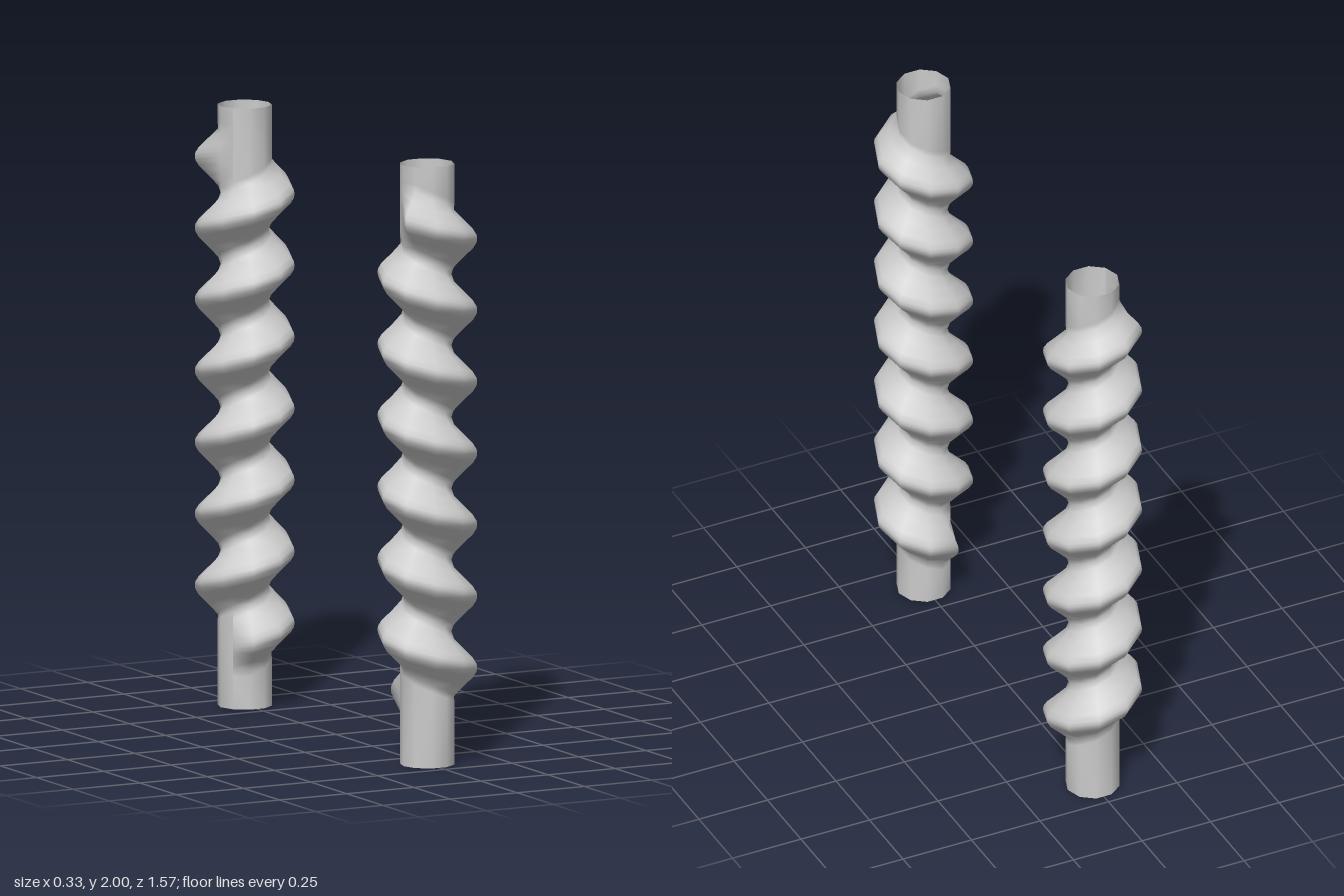
import * as THREE from 'three';
import { mergeVertices } from 'three/addons/utils/BufferGeometryUtils.js';

const SIDES = 10, TURNS = 7, PITCH = 0.238;
const CORE = 0.09, VALLEY = 0.08, HEIGHT = 2;
const START_ANGLE = -0.8 * Math.PI, START_Y = 0.205;

// Thread cross-section between two valleys: [offset in half pitches, radius]
const half = [[0.8, 0.088], [0.55, 0.117], [0.27, 0.151], [0.11, 0.163]];
const thread = [
  ...half.map(([t, r]) => [-t, r]),
  [0, 0.165],
  ...half.slice().reverse().map(([t, r]) => [t, r]),
];

// The thread starts one step after the first column and stops two steps before the last
const hasThread = (col, turn) => {
  if (turn < 0 || turn >= TURNS) return false;
  const step = col + SIDES * turn;
  return step >= 1 && step <= SIDES * TURNS - 2;
};

// Radius and height of every point up one column of the screw
function column(col) {
  const points = [[CORE, 0]];
  for (let turn = 0; turn <= TURNS; turn++) {
    const y = START_Y + PITCH * (col / SIDES + turn);
    const between = hasThread(col, turn - 1) && hasThread(col, turn);
    points.push([between ? VALLEY : CORE, y - PITCH / 2]);
    if (turn === TURNS) break;
    for (const [t, r] of thread) {
      points.push([hasThread(col, turn) ? r : CORE, y + t * PITCH / 2]);
    }
  }
  points.push([CORE, HEIGHT]);
  return points;
}

// Hollow ten-sided screw, open at both ends; hand = 1 or -1 mirrors it in z
function screwGeometry(hand) {
  const positions = [], index = [];
  let rows = 0;
  for (let col = 0; col <= SIDES; col++) {
    const angle = START_ANGLE + (col / SIDES) * Math.PI * 2;
    const points = column(col);
    rows = points.length;
    for (const [r, y] of points) {
      positions.push(r * Math.cos(angle), y, hand * r * Math.sin(angle));
    }
  }
  for (let col = 0; col < SIDES; col++) {
    for (let row = 0; row < rows - 1; row++) {
      const a = col * rows + row, b = a + 1, c = a + rows, d = c + 1;
      if (hand > 0) index.push(a, b, c, b, d, c);
      else index.push(a, c, b, b, c, d);
    }
  }
  const geometry = new THREE.BufferGeometry();
  geometry.setAttribute('position', new THREE.Float32BufferAttribute(positions, 3));
  geometry.setIndex(index);
  const merged = mergeVertices(geometry, 1e-4);
  merged.computeVertexNormals();
  return merged;
}

export function createModel() {
  const group = new THREE.Group();
  group.name = 'screwPair';
  const material = new THREE.MeshStandardMaterial({ color: 0xcccccc, side: THREE.DoubleSide });

  // Two screws of opposite hand, one in front and one behind
  for (const hand of [1, -1]) {
    const screw = new THREE.Mesh(screwGeometry(hand), material);
    screw.name = hand > 0 ? 'frontScrew' : 'backScrew';
    screw.position.z = hand * 0.63;
    group.add(screw);
  }
  return group;
}
